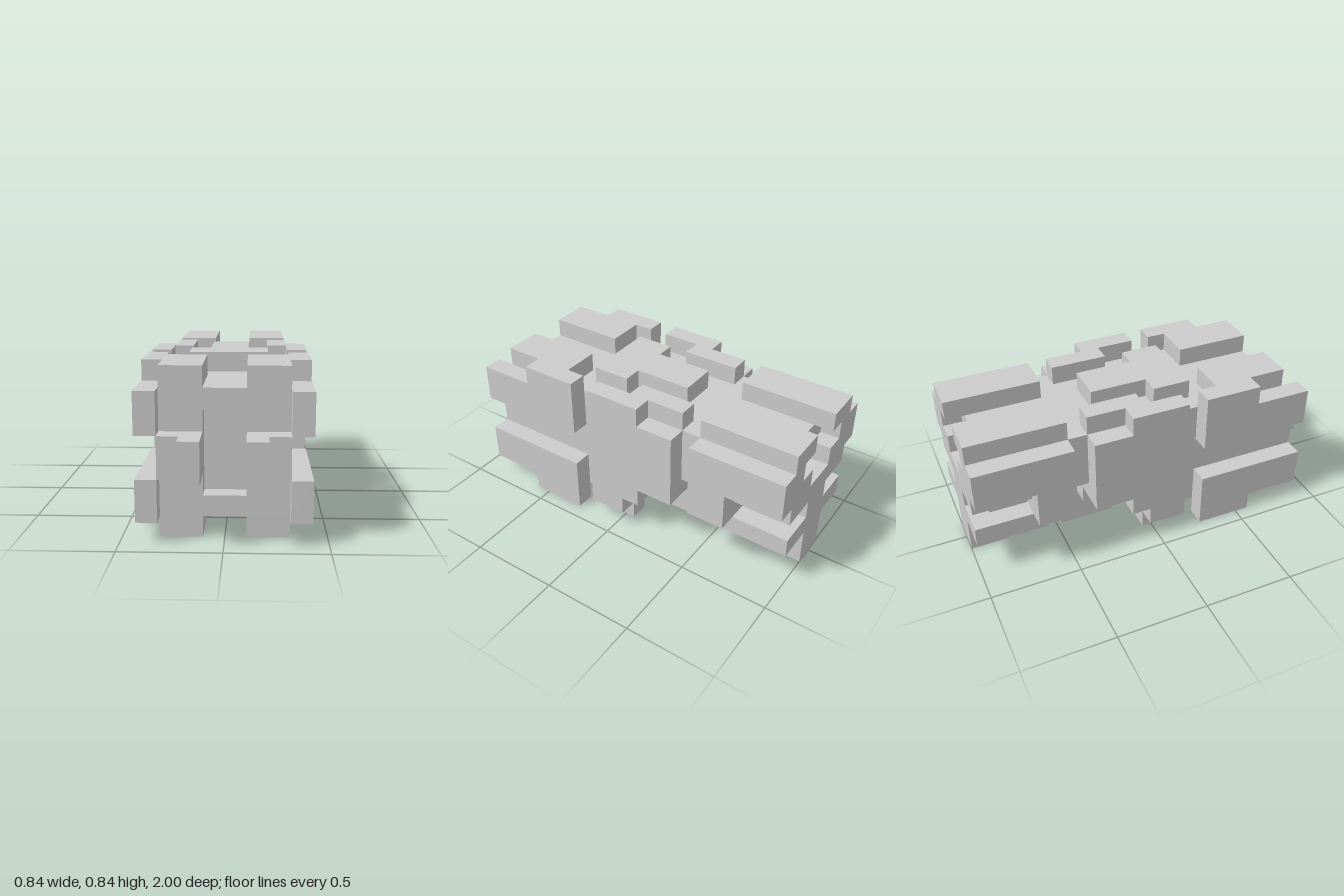
import * as THREE from 'three';

// Grid unit: 19 units long, 8 wide, 8 high
const U = 2 / 19;
const material = new THREE.MeshStandardMaterial({ color: 0xcccccc, flatShading: true });

// Box from grid ranges; z counts from the back (0) to the front (19)
function block(parent, name, [x0, x1], [y0, y1], [z0, z1]) {
  const geometry = new THREE.BoxGeometry((x1 - x0) * U, (y1 - y0) * U, (z1 - z0) * U);
  const mesh = new THREE.Mesh(geometry, material);
  mesh.position.set((x0 + x1) / 2 * U, (y0 + y1) / 2 * U, ((z0 + z1) / 2 - 9.5) * U);
  mesh.name = name;
  parent.add(mesh);
}

// The same box on the left (+x) and right (-x)
function pair(parent, name, [x0, x1], y, z) {
  block(parent, name + 'Left', [x0, x1], y, z);
  block(parent, name + 'Right', [-x1, -x0], y, z);
}

function section(parent, name) {
  const group = new THREE.Group();
  group.name = name;
  parent.add(group);
  return group;
}

export function createModel() {
  const model = new THREE.Group();
  model.name = 'blockVehicle';

  // Front section: core with a shallow square opening
  const front = section(model, 'frontSection');
  block(front, 'frontCore', [-3, 3], [1, 7], [12, 16]);
  pair(front, 'faceSide', [1, 3], [1, 7], [16, 17]);
  block(front, 'faceTop', [-1, 1], [6, 7], [16, 17]);
  block(front, 'faceBottom', [-1, 1], [1, 2], [16, 17]);
  // Stepped prongs on the face
  pair(front, 'prong', [1, 2], [3, 5], [17, 19]);
  pair(front, 'prongRoot', [2, 3], [3, 5], [17, 18]);
  // Side pods and plates, mirrored top to bottom
  for (const [label, flip] of [['Upper', y => y], ['Lower', ([a, b]) => [8 - b, 8 - a]]]) {
    pair(front, 'frontPod' + label, [3, 4], flip([5, 7]), [12, 18]);
    pair(front, 'frontPodCap' + label, [3, 4], flip([7, 8]), [12, 15]);
    pair(front, 'frontPlate' + label, [1, 3], flip([7, 8]), [13, 17]);
  }

  // Middle section
  const middle = section(model, 'middleSection');
  block(middle, 'middleCore', [-3, 3], [1, 7], [9, 12]);
  block(middle, 'middleCoreRear', [-3, 3], [3, 7], [6, 9]);
  block(middle, 'belly', [-2, 2], [2, 3], [6, 9]);
  block(middle, 'neck', [-3, 3], [4, 7], [5, 6]);
  // T-shaped ridge on top
  block(middle, 'ridge', [-1, 1], [7, 8], [7, 10]);
  block(middle, 'ridgeBar', [-2, 2], [7, 8], [10, 12]);
  // Side panels with stepped edges
  pair(middle, 'sidePanelFront', [3, 4], [1, 8], [9, 11]);
  pair(middle, 'sidePanelMid', [3, 4], [2, 8], [8, 9]);
  pair(middle, 'sidePanelRear', [3, 4], [3, 7], [6, 8]);
  pair(middle, 'sidePanelCap', [2, 3], [7, 8], [6, 9]);
  pair(middle, 'sideFoot', [2, 3], [0, 1], [9, 11]);
  // Central stand
  block(middle, 'standPost', [-1, 1], [1, 2], [6, 7]);
  block(middle, 'standFoot', [-1, 1], [0, 1], [5, 8]);

  // Rear section: core with a recess in the back face
  const rear = section(model, 'rearSection');
  block(rear, 'rearCore', [-3, 3], [4, 7], [1, 5]);
  block(rear, 'backLower', [-3, 3], [4, 5], [0, 1]);
  pair(rear, 'backStep', [1, 3], [5, 6], [0, 1]);
  pair(rear, 'backEdge', [2, 3], [6, 7], [0, 1]);
  pair(rear, 'rearPlate', [1, 3], [7, 8], [0, 5]);
  // Side pods
  pair(rear, 'rearPod', [3, 4], [5, 7], [0, 3]);
  pair(rear, 'rearPodFront', [3, 4], [3, 7], [3, 5]);
  pair(rear, 'rearPodJoint', [2, 3], [3, 4], [3, 5]);
  // Narrow waist, crossbar and keel
  block(rear, 'waist', [-2, 2], [3, 4], [1, 5]);
  block(rear, 'waistBack', [-1, 1], [3, 4], [0, 1]);
  block(rear, 'crossbar', [-3, 3], [2, 3], [0, 3]);
  block(rear, 'crossbarFront', [-2, 2], [2, 3], [3, 5]);
  block(rear, 'keel', [-2, 2], [1, 2], [1, 4]);
  block(rear, 'keelBack', [-1, 1], [1, 2], [0, 1]);
  block(rear, 'rearFoot', [-1, 1], [0, 1], [0, 2]);

  return model;
}
